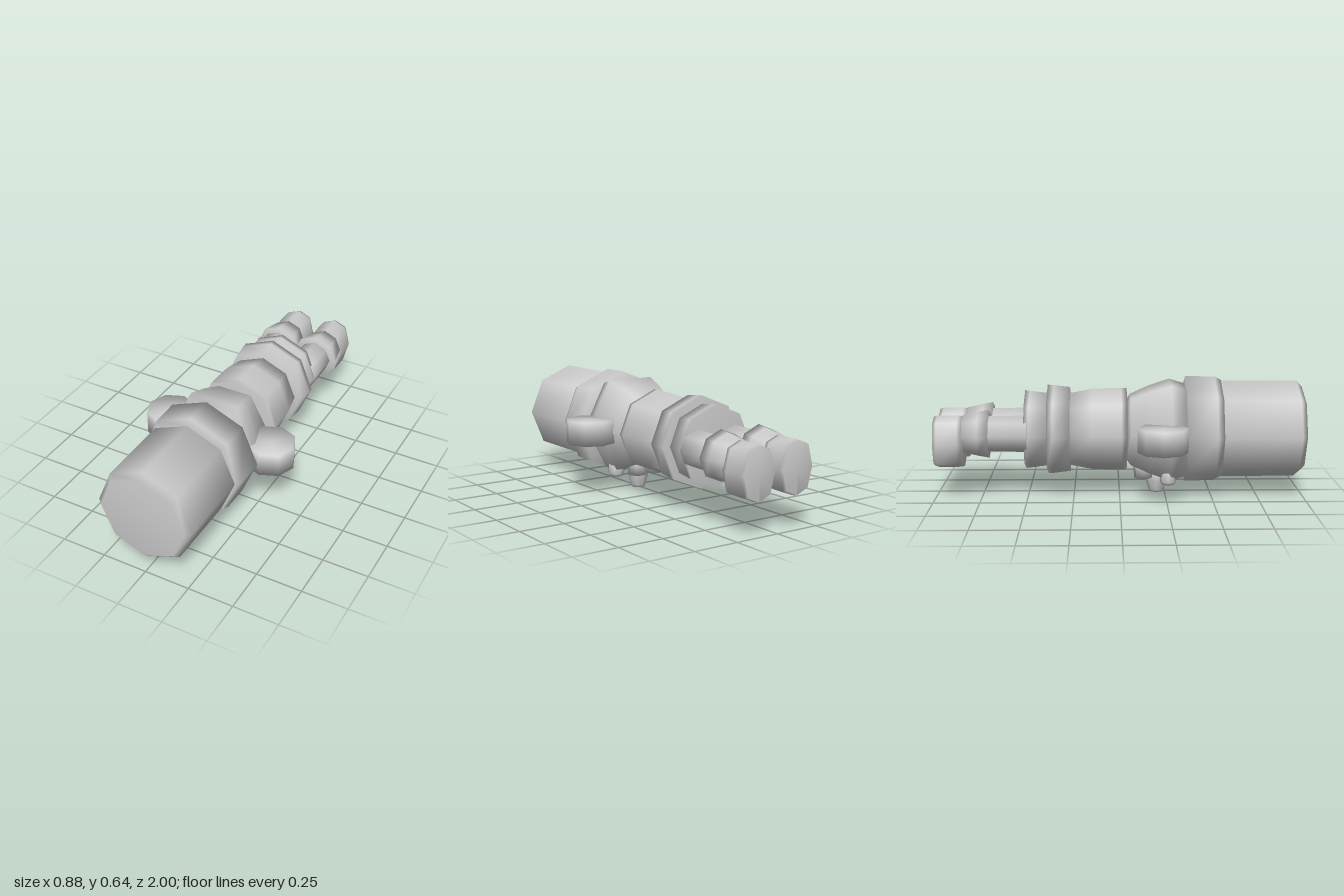
import * as THREE from 'three';

const material = new THREE.MeshStandardMaterial({ color: 0xcccccc, side: THREE.DoubleSide });

// Closed faceted solid with smooth shading; profile is [height, radius] from low to high
function turned(profile, sides = 8, phase = 0) {
  const first = profile[0], last = profile[profile.length - 1];
  const points = [[first[0], 0], ...profile, [last[0], 0]];
  return new THREE.LatheGeometry(points.map(([h, r]) => new THREE.Vector2(r, h)), sides, phase);
}

// The figure lies along z, so most parts are turned about that axis
function alongZ(profile, sides, phase) {
  return turned(profile, sides, phase).rotateX(Math.PI / 2);
}

export function createModel() {
  const model = new THREE.Group();
  model.name = 'lyingFigure';
  const add = (name, geometry, x = 0, y = 0.35, z = 0) => {
    const mesh = new THREE.Mesh(geometry, material);
    mesh.name = name;
    mesh.position.set(x, y, z);
    model.add(mesh);
    return mesh;
  };

  // Hat
  add('hatCrown', alongZ([[0.5, 0.27], [0.97, 0.268], [1, 0.238]]));
  add('hatBrim', alongZ([[0.36, 0.295], [0.52, 0.292], [0.555, 0.275]]));

  // Head, six-sided with a flat back and face
  const head = alongZ(
    [[0.04, 0.18], [0.06, 0.21], [0.17, 0.262], [0.28, 0.3], [0.37, 0.27]], 6, Math.PI / 6);
  add('head', head.scale(0.92, 1, 1));

  // Torso, belt and hips
  add('torso', alongZ([[-0.28, 0.2], [-0.15, 0.226], [0.01, 0.231], [0.04, 0.228]]));
  add('belt', alongZ([[-0.392, 0.249], [-0.36, 0.247], [-0.27, 0.236]]));
  add('hips', alongZ([[-0.515, 0.219], [-0.49, 0.216], [-0.38, 0.202]]));

  // Shoe: an octagon whose lower half is drawn out towards the toe
  const shoe = alongZ([[-1, 0.095], [-0.98, 0.102], [-0.87, 0.102], [-0.84, 0.098]]);
  const pos = shoe.attributes.position;
  for (let i = 0; i < pos.count; i++) {
    const y = pos.getY(i);
    if (y < -0.01) pos.setY(i, y - 0.08);
    else if (y < 0.01) pos.setY(i, y - 0.04);
  }
  shoe.computeVertexNormals();

  for (const [label, side] of [['left', 1], ['right', -1]]) {
    // Legs
    add(label + 'Leg', alongZ([[-0.72, 0.098], [-0.5, 0.1]]), side * 0.12);
    add(label + 'Cuff', alongZ([[-0.845, 0.103], [-0.76, 0.122], [-0.705, 0.132]]), side * 0.12);
    add(label + 'Shoe', shoe, side * 0.12);

    // Ears, upright-edged discs
    add(label + 'Ear', turned([[-0.065, 0.135], [0.065, 0.135]]), side * 0.303, 0.35, 0.225);

    // Eyes and cheeks on the downward face
    add(label + 'Eye', turned([[0.065, 0.036], [0.08, 0.043], [0.16, 0.05]]), side * 0.11, 0, 0.265);
    add(label + 'Cheek', turned([[0.09, 0.05], [0.145, 0.05], [0.2, 0.05]]), side * 0.055, 0, 0.13);
  }

  // Nose
  add('nose', turned([[0, 0.038], [0.012, 0.043], [0.065, 0.057], [0.13, 0.06]]), 0, 0, 0.205);

  return model;
}
